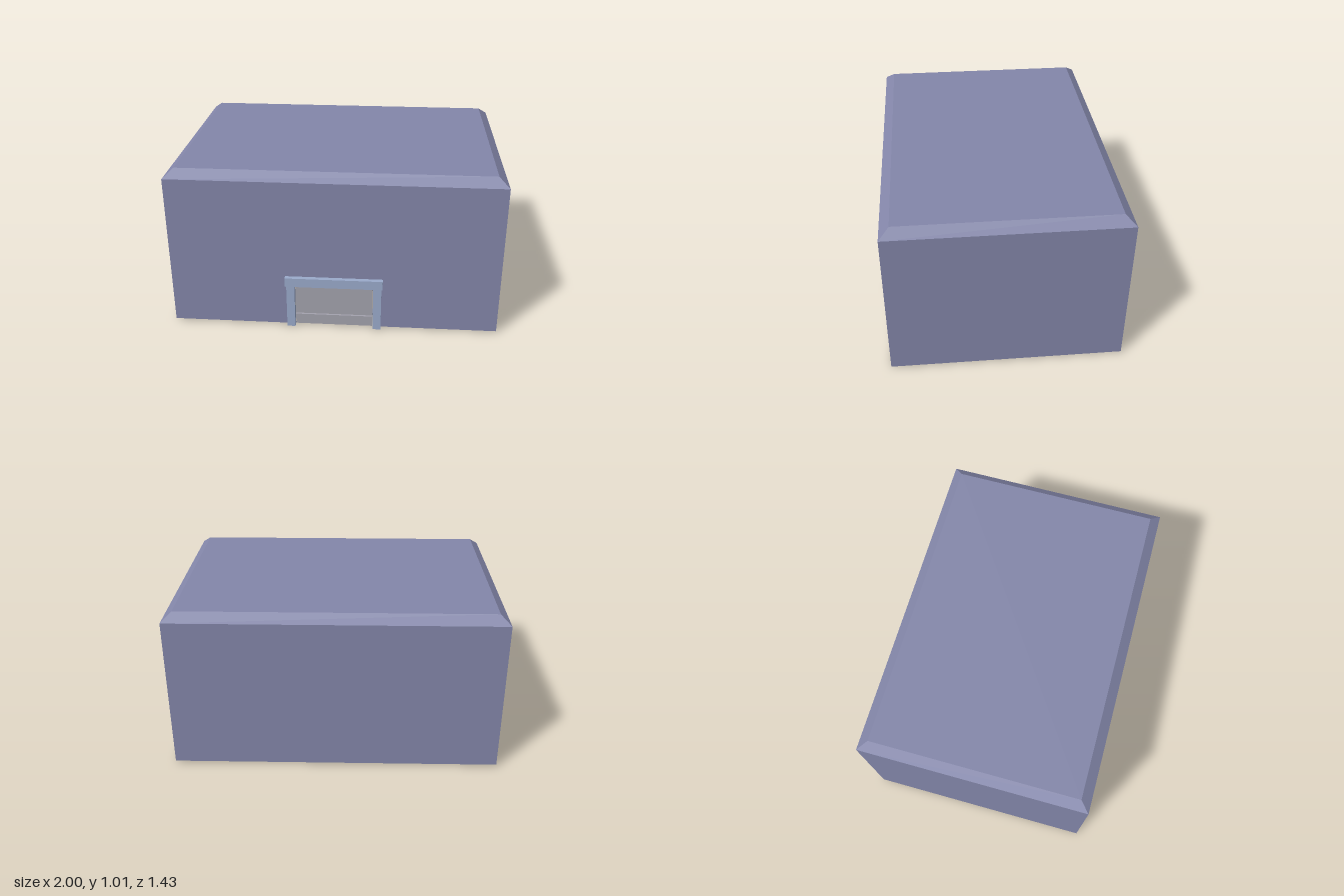
import * as THREE from 'three';

const paint = (color) => new THREE.MeshStandardMaterial({ color, side: THREE.DoubleSide, flatShading: true });

export function createModel() {
  const model = new THREE.Group();
  const wallPaint = paint(0x8386a9);
  const framePaint = paint(0x9aaacb);
  const doorPaint = paint(0xa3a2ad);

  const add = (name, geometry, material) => {
    const mesh = new THREE.Mesh(geometry, material);
    mesh.name = name;
    model.add(mesh);
    return mesh;
  };
  // Box given by its lower and upper limits on each axis
  const block = (name, [x0, x1], [y0, y1], [z0, z1], material) =>
    add(name, new THREE.BoxGeometry(x1 - x0, y1 - y0, z1 - z0), material)
      .position.set((x0 + x1) / 2, (y0 + y1) / 2, (z0 + z1) / 2);
  // Four-cornered panel, corners counter-clockwise from outside
  const panel = (name, a, b, c, d) => {
    const geometry = new THREE.BufferGeometry();
    geometry.setAttribute('position', new THREE.Float32BufferAttribute([a, b, c, a, c, d].flat(), 3));
    geometry.computeVertexNormals();
    add(name, geometry, wallPaint);
  };

  // Open-bottomed shell: floor edge, eaves and roof edge as rings of corners
  const front = 0.687, back = -0.715, inset = 0.06;
  const ring = (y, d) => [
    [-1 + d, y, front - d], [1 - d, y, front - d], [1 - d, y, back + d], [-1 + d, y, back + d],
  ];
  const base = ring(0.01, 0), eaves = ring(0.963, 0), top = ring(1.013, inset);
  ['front', 'left', 'back', 'right'].forEach((side, i) => {
    const j = (i + 1) % 4;
    if (i > 0) panel(side + 'Wall', base[i], base[j], eaves[j], eaves[i]);
    panel(side + 'RoofBevel', eaves[i], eaves[j], top[j], top[i]);
  });
  panel('roof', ...top);

  // Front wall with the doorway cut out
  const outline = [
    [-1, 0.01], [-0.26, 0.01], [-0.26, 0.3], [0.26, 0.3],
    [0.26, 0.01], [1, 0.01], [1, 0.963], [-1, 0.963],
  ].map(([x, y]) => new THREE.Vector2(x, y));
  add('frontWall', new THREE.ShapeGeometry(new THREE.Shape(outline)), wallPaint).position.z = front;

  // Door frame
  block('leftPost', [0.24, 0.29], [0, 0.288], [0.667, 0.705], framePaint);
  block('rightPost', [-0.29, -0.24], [0, 0.288], [0.667, 0.705], framePaint);
  block('lintel', [-0.297, 0.297], [0.288, 0.346], [0.66, 0.715], framePaint);

  // Door in two sections with a narrow gap between them
  block('lowerDoor', [-0.237, 0.237], [0.01, 0.078], [0.672, 0.684], doorPaint);
  block('upperDoor', [-0.237, 0.237], [0.086, 0.283], [0.672, 0.684], doorPaint);

  return model;
}
